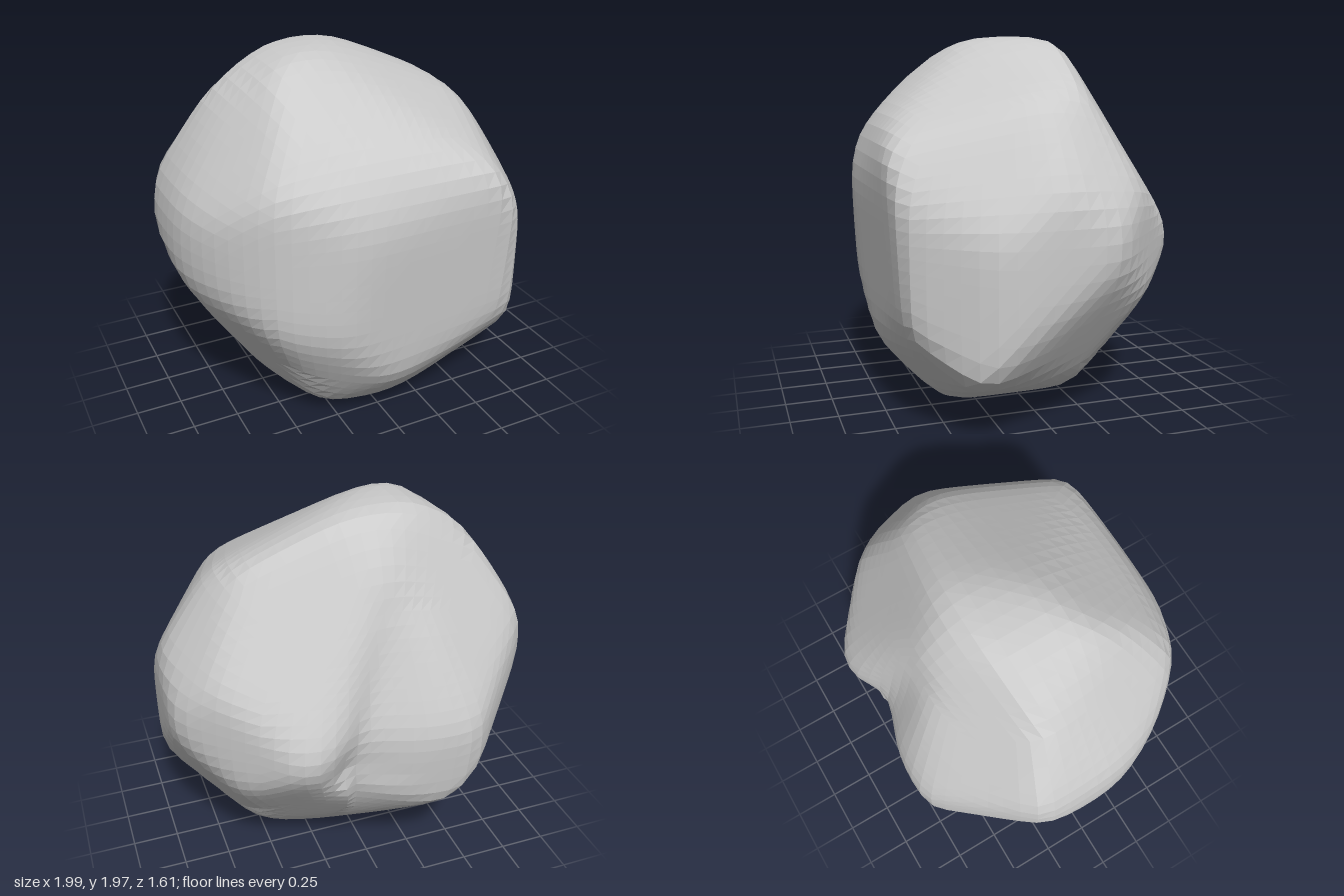
import * as THREE from 'three';
import { mergeVertices } from 'three/addons/utils/BufferGeometryUtils.js';

const MID = 0.985; // half the height of the stone
const V = (x, y, z) => new THREE.Vector3(x, y, z);

// Worn faces of the stone: heading from the front in degrees, tilt upward, distance from the middle
const faces = [
  // crown and base
  [0, 90, 0.96], [0, -90, 0.96], [45, 60, 0.82], [-135, -60, 0.84],
  // front
  [4, -4, 0.775], [0, 21, 0.855], [4, 53, 0.85], [-18, 38, 0.91], [-22, 0, 0.85],
  [-8, -46, 0.99], [18, -38, 0.955], [-27, -28, 0.91],
  // left side
  [53, 0, 0.97], [65, 31, 0.89], [90, 0, 0.97], [90, 40, 0.95], [90, 66, 0.89], [90, -66, 0.97],
  [115, -30, 0.915], [114, 31, 0.89],
  // back
  [136, 0, 0.87], [156, 32, 0.74], [161, -37, 0.79], [180, -5, 0.785], [180, 22, 0.71],
  [180, 50, 0.9], [180, -60, 0.88], [-154, 30, 0.77],
  // right side
  [-135, 0, 0.895], [-111, -35, 0.82], [-90, -26, 0.92], [-90, -63, 0.95], [-90, 4, 0.97],
  [-90, 31, 0.96], [-90, 61, 1], [-69, 35, 0.93], [-65, -31, 0.88], [-46, 0, 0.905],
  [-66, 0, 0.945],
].map(([heading, tilt, dist]) => ({
  normal: V(0, 0, 0).setFromSphericalCoords(
    1, THREE.MathUtils.degToRad(90 - tilt), THREE.MathUtils.degToRad(heading)),
  dist: dist * 1.03, // allowance for the rounding
}));

// Distance to the surface along a direction: the nearest face wins, with rounded edges
function reach(dir) {
  const power = 32; // higher gives sharper edges between faces
  const sum = faces.reduce(
    (acc, f) => acc + Math.max(0, dir.dot(f.normal) / f.dist) ** power, 0);
  return sum ** (-1 / power);
}

// Groove down the back, deeper towards its lower end: steep on its left, gentle on its right
const groove = new THREE.Line3(V(-0.1, 0.5, 0), V(0.15, -0.2, 0));
function carve(p) {
  if (p.z > -0.2) return;
  const flat = V(p.x, p.y, 0);
  const t = groove.closestPointToPointParameter(flat, true);
  const axis = groove.at(t, V(0, 0, 0));
  const width = flat.x > axis.x ? 0.14 : 0.16 + 0.1 * t;
  p.z += (0.03 + 0.09 * t) * Math.exp(-((flat.distanceTo(axis) / width) ** 2));
}

// Evenly divided ball with every vertex moved out to the faces
function stoneGeometry() {
  const box = new THREE.BoxGeometry(2, 2, 2, 18, 18, 18);
  box.deleteAttribute('normal');
  box.deleteAttribute('uv');
  const geo = mergeVertices(box);
  const pos = geo.attributes.position, p = V(0, 0, 0);
  const even = v => Math.tan(v * Math.PI / 4);
  for (let i = 0; i < pos.count; i++) {
    p.fromBufferAttribute(pos, i);
    p.set(even(p.x), even(p.y), even(p.z)).normalize();
    p.multiplyScalar(reach(p));
    carve(p);
    pos.setXYZ(i, p.x, p.y + MID, p.z);
  }
  geo.computeVertexNormals();
  return geo;
}

export function createModel() {
  const group = new THREE.Group();
  group.name = 'rock';
  const stone = new THREE.Mesh(
    stoneGeometry(),
    new THREE.MeshStandardMaterial({ color: 0xcccccc, flatShading: true }));
  stone.name = 'stone';
  group.add(stone);
  return group;
}
